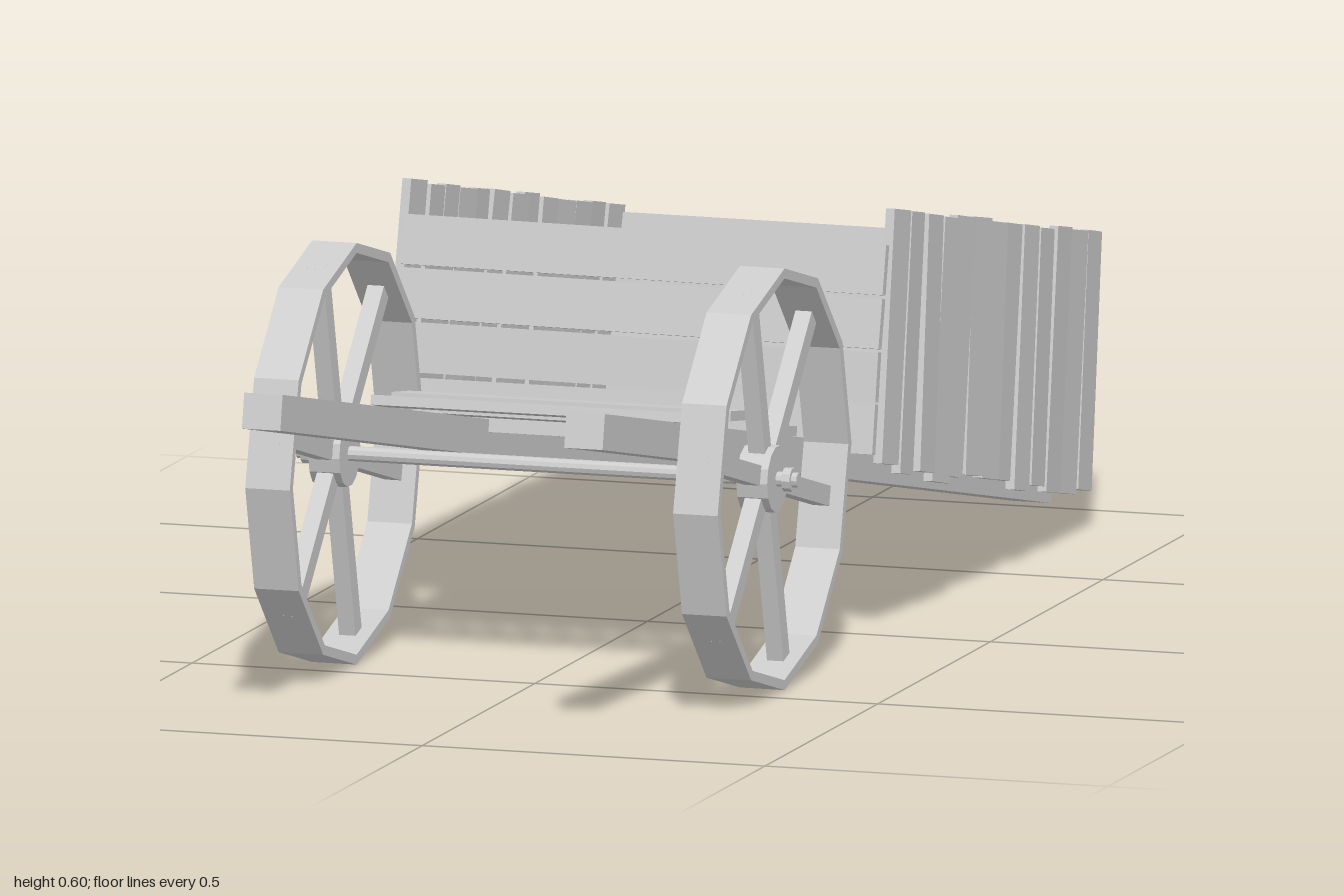
import * as THREE from 'three';

const material = new THREE.MeshStandardMaterial({ color: 0xcccccc, flatShading: true });

// Small seeded generator, gives -1..1, for the uneven carpentry
let seed = 7;
function wobble() {
  seed = (seed * 16807) % 2147483647;
  return (seed / 2147483647) * 2 - 1;
}

function add(parent, name, geometry, x, y, z) {
  const mesh = new THREE.Mesh(geometry, material);
  mesh.name = name;
  mesh.position.set(x, y, z);
  parent.add(mesh);
  return mesh;
}

function box(parent, name, w, h, d, x, y, z) {
  return add(parent, name, new THREE.BoxGeometry(w, h, d), x, y, z);
}

function buildWheel(name) {
  const wheel = new THREE.Group();
  wheel.name = name;
  const R = 0.297, r = 0.283, half = 0.0325;

  // Twelve-sided rim, turned from a rectangular section
  const section = [[r, -half], [R, -half], [R, half], [r, half], [r, -half]]
    .map(([a, b]) => new THREE.Vector2(a, b));
  add(wheel, 'rim', new THREE.LatheGeometry(section, 12), 0, 0, 0).rotation.z = Math.PI / 2;

  add(wheel, 'hub', new THREE.CylinderGeometry(0.047, 0.047, 0.045, 14), 0, 0, 0).rotation.z = Math.PI / 2;

  // Six spokes
  for (let i = 0; i < 6; i++) {
    const spoke = new THREE.Group();
    spoke.name = 'spoke';
    box(spoke, 'spokeBar', 0.024, 0.25, 0.028, 0, 0.162, 0);
    spoke.rotation.x = THREE.MathUtils.degToRad(15 + i * 60);
    wheel.add(spoke);
  }
  return wheel;
}

export function createModel() {
  seed = 7;
  const model = new THREE.Group();
  model.name = 'handcart';

  // Everything but the wheels rests at a tilt, handles up
  const body = new THREE.Group();
  body.name = 'cartBody';
  body.position.y = 0.245;
  body.rotation.x = -0.2095;
  model.add(body);

  // Long beams that end in handles, and rear posts standing on them
  for (const s of [-1, 1]) {
    box(body, 'beam', 0.056, 0.05, 2.033, s * 0.235, 0, 0);
    box(body, 'rearPost', 0.054, 0.305, 0.042, s * 0.235, 0.177, -0.915);
  }

  // Bed floor planks
  const floorCount = 12, floorStart = -0.875, floorPitch = 0.93 / floorCount;
  for (let i = 0; i < floorCount; i++) {
    const plank = box(body, 'floorPlank', 0.69, 0.014, floorPitch - 0.006 + wobble() * 0.003,
      0, 0.034 + wobble() * 0.003, floorStart + (i + 0.5) * floorPitch);
    plank.rotation.set(wobble() * 0.03, wobble() * 0.006, wobble() * 0.006);
  }

  // Side walls of upright planks
  const sideCount = 13, sidePitch = 0.95 / sideCount;
  for (const s of [-1, 1]) {
    for (let i = 0; i < sideCount; i++) {
      const bottom = -0.012 + wobble() * 0.01, top = 0.35 + wobble() * 0.003;
      const plank = box(body, 'sidePlank', 0.013, top - bottom, sidePitch - 0.003 + wobble() * 0.003,
        s * (0.355 + wobble() * 0.003), (top + bottom) / 2, -0.888 + (i + 0.5) * sidePitch);
      plank.rotation.set(wobble() * 0.012, wobble() * 0.05, s * (0.025 + wobble() * 0.012));
    }
  }

  // Front and rear walls of stacked boards
  const walls = [
    { name: 'frontBoard', z: 0.074, base: 0.005, pitch: 0.0745 },
    { name: 'rearBoard', z: -0.884, base: 0.03, pitch: 0.078 },
  ];
  for (const { name, z, base, pitch } of walls) {
    for (let i = 0; i < 4; i++) {
      const board = box(body, name, 0.705, pitch - 0.005, 0.014, 0, base + (i + 0.5) * pitch, z + wobble() * 0.003);
      board.rotation.set(wobble() * 0.04, 0, wobble() * 0.007);
    }
  }

  // Narrow deck between the handles: [centre along beam, depth, lift, pitch]
  const deck = [
    [0.127, 0.055, 0, 0.02], [0.193, 0.062, 0, -0.02], [0.268, 0.07, 0.002, 0.03],
    [0.362, 0.08, 0.012, 0.06], [0.462, 0.062, 0.002, -0.02],
  ];
  for (const [z, depth, lift, pitch] of deck) {
    const slat = box(body, 'deckSlat', 0.495, 0.014, depth, 0, 0.033 + lift, z);
    slat.rotation.set(pitch, 0, wobble() * 0.006);
  }

  // Axle under the beams, with a wheel and end cap on each side
  const axleY = 0.2975, axleZ = 0.44;
  add(model, 'axle', new THREE.CylinderGeometry(0.0105, 0.0105, 0.73, 10), 0, axleY, axleZ).rotation.z = Math.PI / 2;
  for (const s of [-1, 1]) {
    const wheel = buildWheel(s > 0 ? 'leftWheel' : 'rightWheel');
    wheel.position.set(s * 0.312, axleY, axleZ);
    model.add(wheel);
    add(model, 'axleCap', new THREE.CylinderGeometry(0.017, 0.017, 0.012, 10), s * 0.351, axleY, axleZ).rotation.z = Math.PI / 2;
  }

  return model;
}
